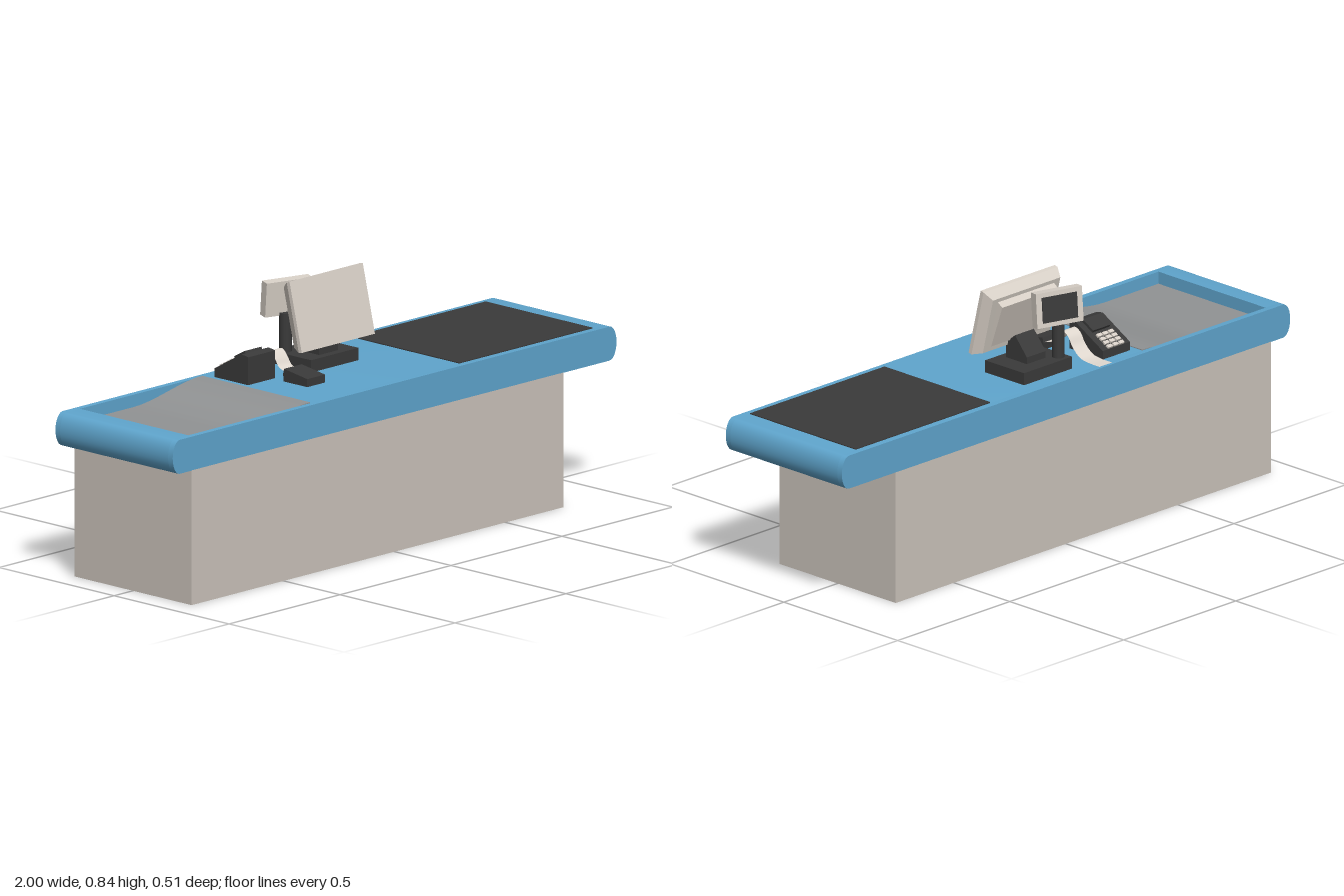
import * as THREE from 'three';
import { toCreasedNormals } from 'three/addons/utils/BufferGeometryUtils.js';

const material = (name, color) => {
  const m = new THREE.MeshStandardMaterial({ color });
  m.name = name;
  return m;
};

export function createModel() {
  const blue = material('counter blue', 0x5fa5cd);
  const stone = material('warm grey', 0xcbc3bb);
  const ivory = material('ivory plastic', 0xd8d0c7);
  const dark = material('charcoal', 0x3a3a3a);
  const steel = material('steel grey', 0x919394);
  const paper = material('receipt paper', 0xe0d8cf);
  paper.side = THREE.DoubleSide;

  const model = new THREE.Group();
  model.name = 'checkoutCounter';

  const add = (name, geometry, mat, parent = model) => {
    const mesh = new THREE.Mesh(geometry, mat);
    mesh.name = name;
    parent.add(mesh);
    return mesh;
  };
  // Box given by its limits on each axis
  const box = (x0, x1, y0, y1, z0, z1) =>
    new THREE.BoxGeometry(x1 - x0, y1 - y0, z1 - z0)
      .translate((x0 + x1) / 2, (y0 + y1) / 2, (z0 + z1) / 2);
  const shapeOf = pts => new THREE.Shape(pts.map(p => new THREE.Vector2(p[0], p[1])));
  // Front profile (x, y) swept along z
  const sweepZ = (pts, z0, z1) => toCreasedNormals(
    new THREE.ExtrudeGeometry(shapeOf(pts), { depth: z1 - z0, bevelEnabled: false })
      .translate(0, 0, z0), 0.6);
  // Side profile (z, y) swept along x
  const sweepX = (pts, x0, x1) =>
    new THREE.ExtrudeGeometry(shapeOf(pts), { depth: x1 - x0, bevelEnabled: false })
      .rotateY(-Math.PI / 2).translate(x1, 0, 0);

  // Cabinet below the worktop
  add('cabinet', box(-0.915, 0.76, 0, 0.436, -0.255, 0.255), stone);

  // Worktop: rounded ends, with a sunken packing tray in the middle band
  const TOP = 0.545, BOTTOM = 0.435, MID = 0.49;
  const roundEnd = side => Array.from({ length: 13 }, (_, i) => {
    const a = side * (-Math.PI / 2 + (i / 12) * Math.PI);
    return [side * (0.968 + 0.032 * Math.cos(a)), MID + side * 0.055 * Math.sin(a)];
  });
  const right = roundEnd(1);
  const left = roundEnd(-1).map(([x, y]) => [x, 2 * MID - y]).reverse();
  if (left[0][1] < left[12][1]) left.reverse();

  // Tray floor: flat, then an S-shaped ramp up to the worktop
  const floor = [[-0.91, 0.502]];
  for (let i = 0; i <= 12; i++) {
    const t = i / 12;
    floor.push([-0.67 + 0.31 * t, 0.502 + (TOP - 0.502) * t * t * (3 - 2 * t)]);
  }
  const notch = [...floor].reverse().concat([[-0.91, TOP]]);
  const full = [...right, ...left];
  add('worktopFrontRim', sweepZ(full, 0.235, 0.255), blue);
  add('worktopBackRim', sweepZ(full, -0.255, -0.235), blue);
  add('worktopMiddle', sweepZ([...right, ...notch, ...left], -0.235, 0.235), blue);
  const lifted = floor.map(([x, y]) => [x, y + 0.003]).reverse();
  add('trayFloor', sweepZ([...floor, ...lifted], -0.235, 0.235), steel);

  // Conveyor belt
  add('conveyorBelt', box(0.315, 0.915, 0.54, 0.548, -0.232, 0.232), dark);

  // Register base, monitor stand and display pole
  add('registerBase', box(-0.088, 0.126, TOP, 0.585, -0.194, -0.024), dark);
  add('monitorStand', sweepX([[-0.05, 0.583], [-0.142, 0.583], [-0.142, 0.607],
    [-0.09, 0.668], [-0.05, 0.635]], -0.024, 0.06), dark);
  add('displayPole', new THREE.CylinderGeometry(0.02, 0.02, 0.13, 24)
    .translate(-0.06, 0.645, -0.162), dark);

  // Monitor, leaning back
  const monitor = new THREE.Group();
  monitor.name = 'monitor';
  monitor.position.set(0.02, 0.622, -0.009);
  monitor.rotation.x = -0.237;
  model.add(monitor);
  add('monitorFront', box(-0.165, 0.165, 0, 0.226, -0.013, 0), ivory, monitor);
  const shell = new THREE.BoxGeometry(0.33, 0.226, 0.032);
  const p = shell.attributes.position;
  for (let i = 0; i < p.count; i++) {
    if (p.getZ(i) < 0) p.setXY(i, p.getX(i) * 0.91, p.getY(i) * 0.85);
  }
  shell.computeVertexNormals();
  add('monitorShell', shell.translate(0, 0.113, -0.029), ivory, monitor);
  add('monitorHousing', sweepX([[-0.04, 0.03], [-0.04, 0.198], [-0.0665, 0.187],
    [-0.052, 0.038]], -0.125, 0.125), ivory, monitor);

  // Customer display, turned to the back and left
  const display = new THREE.Group();
  display.name = 'customerDisplay';
  display.position.set(-0.044, 0.758, -0.173);
  display.rotation.set(0.1, -0.29, 0, 'YXZ');
  model.add(display);
  add('displayCase', new THREE.BoxGeometry(0.165, 0.113, 0.032), ivory, display);
  add('displayScreen', new THREE.BoxGeometry(0.125, 0.083, 0.004)
    .translate(0, 0, -0.017), dark, display);

  // Receipt printer with a curling strip of paper
  add('receiptPrinter', sweepX([[0.092, TOP], [0.092, 0.571], [-0.009, 0.586],
    [-0.013, 0.568], [-0.01, TOP]], -0.225, -0.145), dark);
  const curl = new THREE.CatmullRomCurve3([[0.57, -0.01], [0.581, -0.045], [0.606, -0.063],
    [0.626, -0.086], [0.614, -0.112], [0.583, -0.132], [0.556, -0.165], [0.549, -0.2],
    [0.548, -0.25]].map(([y, z]) => new THREE.Vector3(0, y, z)));
  const strip = new THREE.PlaneGeometry(0.056, 1, 1, 32);
  const s = strip.attributes.position;
  for (let i = 0; i < s.count; i++) {
    const q = curl.getPoint(0.5 - s.getY(i));
    s.setXYZ(i, -0.182 + s.getX(i), q.y, q.z);
  }
  strip.computeVertexNormals();
  add('receiptStrip', strip, paper);

  // Card terminal: sloped keypad facing the back
  add('terminalBody', sweepX([[-0.058, TOP], [-0.058, 0.635], [-0.085, 0.64],
    [-0.205, 0.573], [-0.205, TOP]], -0.336, -0.215), dark);
  const keypad = new THREE.Group();
  keypad.name = 'terminalKeypad';
  keypad.position.set(-0.2755, 0.6065, -0.145);
  keypad.rotation.x = -Math.atan2(0.067, 0.12);
  model.add(keypad);
  add('terminalScreen', box(-0.038, 0.038, 0, 0.009, 0.01, 0.062), dark, keypad);
  for (let row = 0; row < 4; row++) {
    for (let col = -1; col <= 1; col++) {
      const z = -0.004 - row * 0.017;
      add('key', box(col * 0.026 - 0.01, col * 0.026 + 0.01, 0, 0.006, z - 0.012, z),
        ivory, keypad);
    }
  }
  return model;
}
